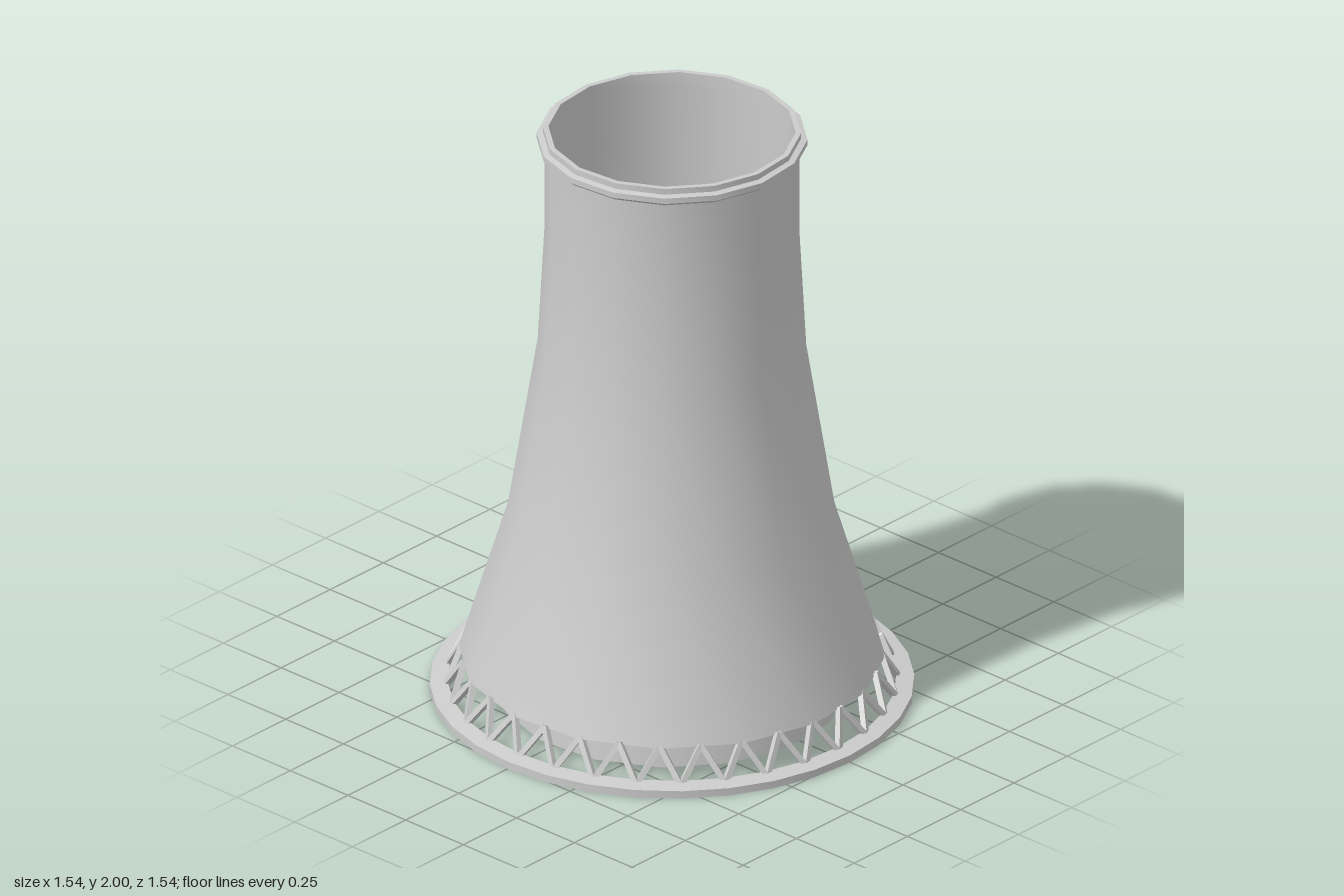
import * as THREE from 'three';
import { toCreasedNormals } from 'three/addons/utils/BufferGeometryUtils.js';

const material = new THREE.MeshStandardMaterial({ color: 0xcccccc, side: THREE.DoubleSide });
const TURN = -Math.PI / 32; // quarter-facet twist of the sixteen-sided tower

// Revolve [radius, height] points, keeping hard profile edges crisp
function revolve(name, points, sides, start = 0) {
  const profile = points.map(([r, y]) => new THREE.Vector2(r, y));
  const geometry = new THREE.LatheGeometry(profile, sides, start);
  const mesh = new THREE.Mesh(toCreasedNormals(geometry, 0.65), material);
  mesh.name = name;
  return mesh;
}

function polar(radius, y, angle) {
  return new THREE.Vector3(radius * Math.sin(angle), y, radius * Math.cos(angle));
}

// Square bar between two points, with one face turned outward
function strut(a, b) {
  const along = b.clone().sub(a);
  const length = along.length();
  along.normalize();
  const out = a.clone().add(b).setY(0).normalize();
  const side = new THREE.Vector3().crossVectors(along, out).normalize();
  out.crossVectors(side, along);
  const mesh = new THREE.Mesh(new THREE.BoxGeometry(0.018, length, 0.018), material);
  mesh.quaternion.setFromRotationMatrix(new THREE.Matrix4().makeBasis(side, along, out));
  mesh.position.copy(a).add(b).multiplyScalar(0.5);
  mesh.name = 'strut';
  return mesh;
}

export function createModel() {
  const model = new THREE.Group();
  model.name = 'coolingTower';

  // Flared outer shell
  model.add(revolve('outerShell', [
    [0.68, 0.13], [0.522, 0.65], [0.428, 1.24], [0.406, 1.65], [0.406, 1.96],
  ], 16, TURN));

  // Inner skin, reaching the ground inside the lattice
  model.add(revolve('innerSkin', [
    [0.56, 0], [0.505, 0.65], [0.415, 1.24], [0.396, 1.65], [0.396, 1.99],
  ], 16, TURN));

  // Stepped rim around the mouth
  model.add(revolve('rim', [
    [0.396, 1.945], [0.418, 1.945], [0.432, 1.957], [0.432, 1.976],
    [0.412, 1.98], [0.412, 2], [0.394, 2], [0.394, 1.945],
  ], 16, TURN));

  // Foundation ring
  model.add(revolve('baseRing', [
    [0.715, 0], [0.772, 0], [0.772, 0.026], [0.715, 0.034], [0.715, 0],
  ], 32));

  // Zigzag of slanted legs carrying the shell
  const lattice = new THREE.Group();
  lattice.name = 'legLattice';
  const count = 32;
  const step = (Math.PI * 2) / count;
  for (let i = 0; i < count; i++) {
    const foot = polar(0.722, 0.02, i * step);
    for (const dir of [-0.5, 0.5]) {
      lattice.add(strut(foot, polar(0.668, 0.135, (i + dir) * step)));
    }
  }
  model.add(lattice);
  return model;
}
